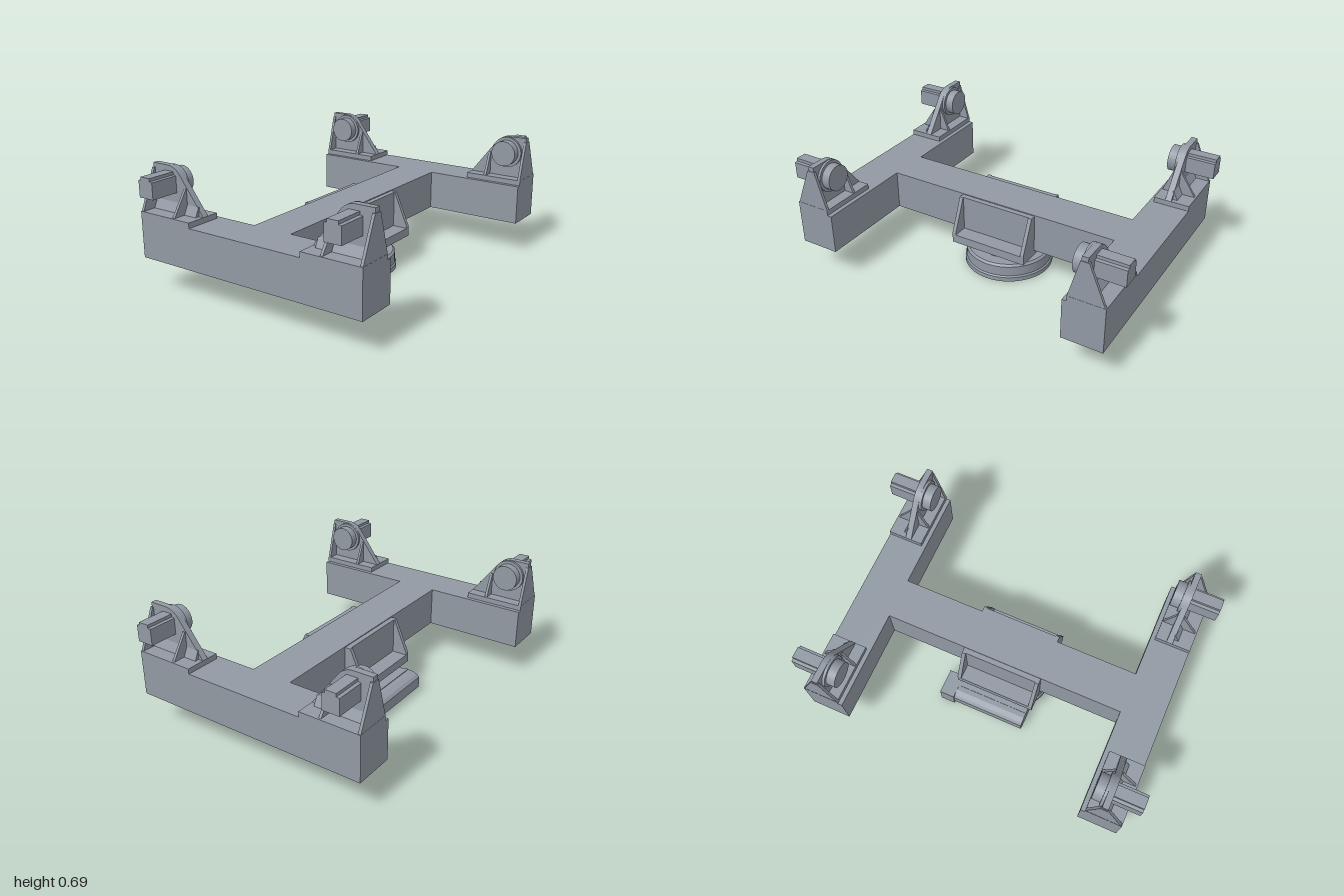
import * as THREE from 'three';

export function createModel() {
  const root = new THREE.Group();
  const steel = new THREE.MeshStandardMaterial({ color: 0x9199a3 });
  steel.name = 'steel grey';

  const add = (parent, name, geo) => {
    const mesh = new THREE.Mesh(geo, steel);
    mesh.name = name;
    parent.add(mesh);
    return mesh;
  };

  // Box given by its limits on each axis
  const box = (x0, x1, y0, y1, z0, z1) =>
    new THREE.BoxGeometry(x1 - x0, y1 - y0, z1 - z0)
      .translate((x0 + x1) / 2, (y0 + y1) / 2, (z0 + z1) / 2);

  const shapeOf = (pts) => new THREE.Shape(pts.map(([a, b]) => new THREE.Vector2(a, b)));

  // Profile in x,y extruded from z0 to z1
  const extrudeZ = (shape, z0, z1) =>
    new THREE.ExtrudeGeometry(shape, { depth: z1 - z0, bevelEnabled: false, curveSegments: 10 })
      .translate(0, 0, z0);

  // Profile in z,y extruded from x0 to x1
  const extrudeX = (pts, x0, x1) =>
    new THREE.ExtrudeGeometry(shapeOf(pts), { depth: x1 - x0, bevelEnabled: false })
      .rotateY(-Math.PI / 2).translate(x1, 0, 0);

  // Mirror a geometry across x and/or z, keeping faces outward
  const mirrored = (geo, sx, sz) => {
    const g = geo.index ? geo.toNonIndexed() : geo;
    g.scale(sx, 1, sz);
    if (sx * sz < 0) {
      for (const attr of Object.values(g.attributes)) {
        const n = attr.itemSize;
        for (let i = 0; i < attr.count; i += 3) {
          for (let k = 0; k < n; k++) {
            const a = (i + 1) * n + k, b = (i + 2) * n + k;
            [attr.array[a], attr.array[b]] = [attr.array[b], attr.array[a]];
          }
        }
      }
    }
    return g;
  };

  // H-shaped frame, drawn as one plan outline
  const quarter = [[0.705, 0.94], [0.705, 0.71], [0.12, 0.71]];
  const plan = [
    ...quarter,
    ...quarter.map(([x, z]) => [x, -z]).reverse(),
    ...quarter.map(([x, z]) => [-x, -z]),
    ...quarter.map(([x, z]) => [-x, z]).reverse(),
  ];
  add(root, 'frame', extrudeZ(shapeOf(plan), 0.19, 0.42).rotateX(-Math.PI / 2));

  // Corner brackets with roller and square shaft
  const upright = new THREE.Shape();
  upright.moveTo(0.355, 0.45);
  upright.lineTo(0.70, 0.45);
  upright.lineTo(0.70, 0.695);
  upright.lineTo(0.59, 0.695);
  upright.quadraticCurveTo(0.54, 0.692, 0.508, 0.65);
  upright.closePath();
  const shaftProfile = shapeOf([
    [0.538, 0.553], [0.635, 0.553], [0.635, 0.645], [0.618, 0.648],
    [0.618, 0.665], [0.555, 0.665], [0.555, 0.648], [0.538, 0.645],
  ]);
  const disc = (r, z0, z1) =>
    new THREE.CylinderGeometry(r, r, z1 - z0, 40).rotateX(Math.PI / 2)
      .translate(0.587, 0.6, (z0 + z1) / 2);

  for (const sx of [1, -1]) {
    for (const sz of [1, -1]) {
      const bracket = new THREE.Group();
      bracket.name = 'cornerBracket';
      root.add(bracket);
      const put = (name, geo) => add(bracket, name, mirrored(geo, sx, sz));
      put('bracketFoot', box(0.355, 0.705, 0.42, 0.45, 0.735, 0.94));
      put('bracketUpright', extrudeZ(upright, 0.80, 0.835));
      put('uprightFillet', extrudeX([[0.83, 0.45], [0.86, 0.45], [0.835, 0.5], [0.83, 0.5]], 0.385, 0.695));
      put('endGusset', extrudeX([[0.735, 0.45], [0.935, 0.45], [0.842, 0.67], [0.796, 0.67]], 0.688, 0.704));
      put('middleGusset', extrudeX([[0.74, 0.45], [0.93, 0.45], [0.84, 0.585], [0.795, 0.585]], 0.465, 0.48));
      put('rollerFlange', disc(0.092, 0.785, 0.81));
      put('roller', disc(0.075, 0.735, 0.80));
      put('squareShaft', extrudeZ(shaftProfile, 0.83, 1.0));
    }
  }

  // Saddle under the spine, with a cheek and two gussets on each side
  const saddle = new THREE.Group();
  saddle.name = 'saddle';
  root.add(saddle);
  add(saddle, 'saddlePlate', box(-0.24, 0.24, 0.16, 0.19, -0.235, 0.235));
  const rib = shapeOf([[0.15, 0.2], [0.24, 0.2], [0.24, 0.22], [0.155, 0.415], [0.15, 0.415]]);
  for (const s of [1, -1]) {
    add(saddle, 'saddleCheek', mirrored(box(0.12, 0.15, 0.18, 0.415, -0.235, 0.235), s, 1));
    add(saddle, 'saddleLedge', mirrored(box(0.12, 0.24, 0.18, 0.21, -0.235, 0.235), s, 1));
    for (const z of [-0.235, 0.213]) {
      add(saddle, 'saddleGusset', mirrored(extrudeZ(rib, z, z + 0.022), s, 1));
    }
  }

  // Slewing ring: sharp-edged turned parts, one band per profile segment
  const ring = new THREE.Group();
  ring.name = 'slewingRing';
  root.add(ring);
  const profile = [
    [0, 0.006], [0.19, 0.006], [0.19, 0], [0.258, 0], [0.258, 0.026], [0.25, 0.034],
    [0.25, 0.093], [0.238, 0.105], [0.175, 0.105], [0.175, 0.16],
  ].map(([r, y]) => new THREE.Vector2(r, y));
  for (let i = 0; i + 1 < profile.length; i++) {
    add(ring, 'ringBand', new THREE.LatheGeometry([profile[i], profile[i + 1]], 64));
  }

  // Worm drive beside the ring
  const drive = new THREE.Group();
  drive.name = 'wormDrive';
  root.add(drive);
  const housing = shapeOf([
    [-0.335, 0.03], [-0.315, 0.015], [-0.262, 0.003], [-0.21, 0.018], [-0.187, 0.032],
    [-0.187, 0.092], [-0.205, 0.11], [-0.235, 0.121], [-0.29, 0.121], [-0.32, 0.11], [-0.335, 0.094],
  ]);
  add(drive, 'wormHousing', extrudeZ(housing, -0.225, 0.21));
  add(drive, 'motorBlock', box(-0.34, -0.195, 0.003, 0.122, -0.308, -0.222));
  const link = shapeOf([[-0.26, -0.21], [-0.15, -0.18], [-0.05, -0.1], [-0.05, 0.1], [-0.15, 0.18], [-0.26, 0.21]]);
  add(drive, 'housingLink', extrudeZ(link, 0.03, 0.125).rotateX(-Math.PI / 2));

  return root;
}
